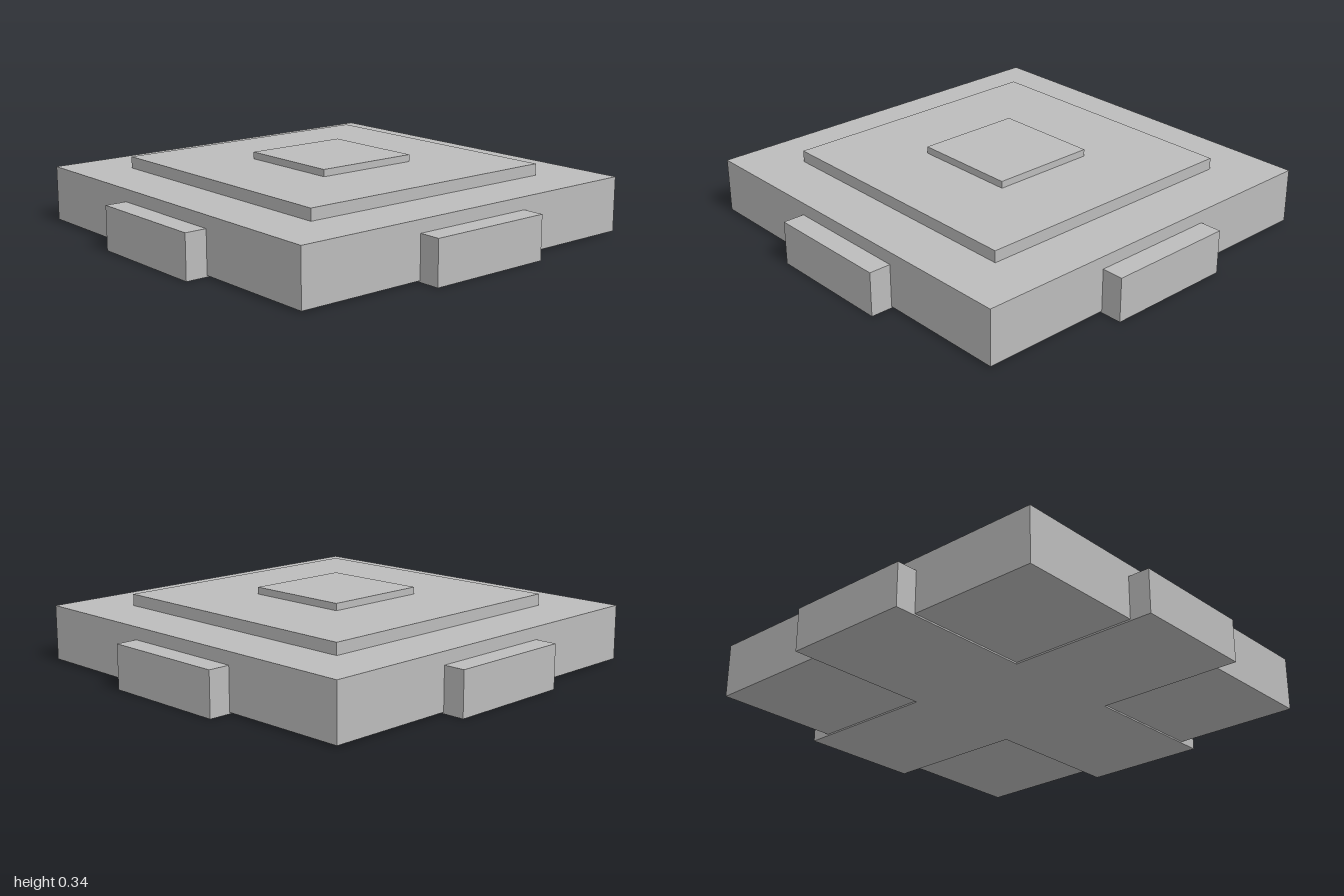
import * as THREE from 'three';

export function createModel() {
  const model = new THREE.Group();
  const grey = new THREE.MeshStandardMaterial({ color: 0xbcbcbc });
  grey.name = 'light grey';

  // Box of the given footprint between two heights
  function slab(name, width, depth, bottom, top) {
    const mesh = new THREE.Mesh(new THREE.BoxGeometry(width, top - bottom, depth), grey);
    mesh.name = name;
    mesh.position.y = (bottom + top) / 2;
    model.add(mesh);
  }

  // Stepped platform
  slab('base', 1.8, 1.8, 0.007, 0.257);
  slab('middleStep', 1.3, 1.3, 0.25, 0.31);
  slab('topStep', 0.5, 0.5, 0.3, 0.342);

  // Crossed bars that stick out as a tab on each side and just below the base
  slab('sideToSideBar', 2, 0.6, 0, 0.2);
  slab('frontToBackBar', 0.6, 2, 0, 0.2);

  return model;
}
